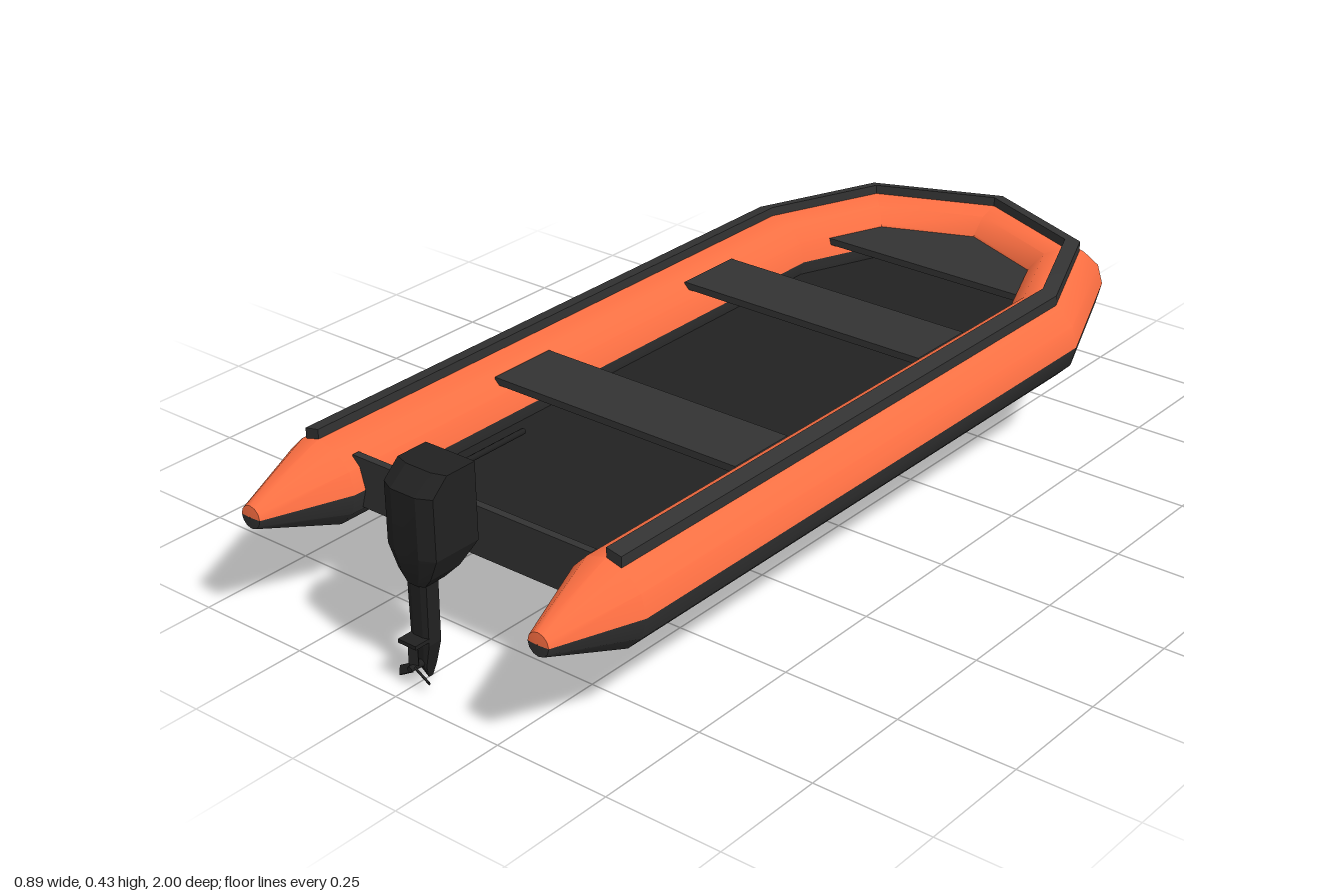
import * as THREE from 'three';
import { toCreasedNormals } from 'three/addons/utils/BufferGeometryUtils.js';

const mat = (color) => new THREE.MeshStandardMaterial({ color, side: THREE.DoubleSide });
const orange = mat(0xff7043), dark = mat(0x333333), floorMat = mat(0x222222), motorMat = mat(0x212121);

// Skins a list of equal-length rings of [x, y, z] points
function loft(rings, closed, crease) {
  const n = rings[0].length, index = [];
  for (let i = 0; i < rings.length - 1; i++) {
    for (let j = 0; j < (closed ? n : n - 1); j++) {
      const a = i * n + j, b = i * n + (j + 1) % n;
      index.push(a, b, b + n, a, b + n, a + n);
    }
  }
  if (closed) {
    const last = (rings.length - 1) * n;
    for (let j = 1; j < n - 1; j++) {
      index.push(0, j + 1, j, last, last + j, last + j + 1);
    }
  }
  const g = new THREE.BufferGeometry();
  g.setAttribute('position', new THREE.Float32BufferAttribute(rings.flat(2), 3));
  g.setIndex(index);
  return toCreasedNormals(g, crease);
}

// Hull centre line: straight sides joined by a four-segment bow
const HALF = 0.355, BEND = -0.56, STERN = 0.82, TUBE_Y = 0.245, TUBE_R = 0.089;
function hullPath() {
  const path = [{ x: HALF, z: STERN, nx: 1, nz: 0 }];
  for (let i = 0; i <= 4; i++) {
    const a = (i / 4) * Math.PI, nx = Math.cos(a), nz = -Math.sin(a);
    path.push({ x: HALF * nx, z: BEND + HALF * nz, nx, nz });
  }
  path.push({ x: -HALF, z: STERN, nx: -1, nz: 0 });
  return path;
}

// Places a cross-section of [outward, y] pairs at a station of the path
const place = (p, section) => section.map(([u, y]) => [p.x + p.nx * u, y, p.z + p.nz * u]);

// Half of the inflated tube, with tapered stern ends
function halfTube(start) {
  const tube = hullPath().map((p) => ({ ...p, r: TUBE_R }));
  const tail = (s, z, r) => ({ x: s * HALF, z, nx: s, nz: 0, r });
  const stations = [tail(1, 1, 0.001), tail(1, 0.998, 0.024), ...tube, tail(-1, 0.998, 0.024), tail(-1, 1, 0.001)];
  return loft(stations.map((p) => {
    const section = [];
    for (let j = 0; j <= 6; j++) {
      const a = start + (j / 6) * Math.PI;
      section.push([p.r * Math.cos(a), TUBE_Y + p.r * Math.sin(a)]);
    }
    return place(p, section);
  }), false, 0.6);
}

// Horizontal panel from an outline of [x, z] points
function panel(points, y, thickness) {
  const shape = new THREE.Shape(points.map(([x, z]) => new THREE.Vector2(x, -z)));
  const g = new THREE.ExtrudeGeometry(shape, { depth: thickness, bevelEnabled: false });
  return g.rotateX(-Math.PI / 2).translate(0, y, 0);
}

// Stacked motor sections: [y, half width, front z, rear z], rear corners cut
function stack(sections) {
  return loft(sections.map(([y, w, z0, z1]) => {
    const cut = (z1 - z0) * 0.12;
    return [[w * 0.5, y, z1], [w, y, z1 - cut], [w, y, z0], [-w, y, z0], [-w, y, z1 - cut], [-w * 0.5, y, z1]];
  }), true, 0.2);
}

export function createModel() {
  const model = new THREE.Group();
  const add = (name, geometry, material, parent = model) => {
    const mesh = new THREE.Mesh(geometry, material);
    mesh.name = name;
    parent.add(mesh);
    return mesh;
  };
  const box = (w, h, d, x, y, z) => new THREE.BoxGeometry(w, h, d).translate(x, y, z);

  // Inflated hull
  add('upperTube', halfTube(0), orange);
  add('lowerTube', halfTube(Math.PI), dark);
  const strip = [[0, 0.33], [0, 0.354], [0.034, 0.347], [0.034, 0.324]];
  add('rubbingStrip', loft(hullPath().map((p) => place(p, strip)), true, 0.2), dark);

  // Floor, bow deck, transom and benches
  add('floor', panel([[-0.29, 0.785], [0.29, 0.785], [0.29, -0.56], [0.21, -0.77], [0, -0.86],
    [-0.21, -0.77], [-0.29, -0.56]], 0.2, 0.014), floorMat);
  add('bowDeck', panel([[-0.265, -0.63], [0.265, -0.63], [0.21, -0.775], [0, -0.86], [-0.21, -0.775]], 0.27, 0.015), dark);
  add('transom', box(0.59, 0.105, 0.016, 0, 0.2575, 0.785), dark);
  for (const [name, z] of [['frontBench', -0.267], ['rearBench', 0.32]]) {
    add(name, box(0.604, 0.015, 0.158, 0, 0.31, z), dark);
  }

  // Outboard motor
  const motor = new THREE.Group();
  motor.name = 'outboardMotor';
  model.add(motor);
  add('cowling', stack([[0.205, 0.024, 0.885, 0.94], [0.225, 0.04, 0.86, 0.945], [0.27, 0.06, 0.83, 0.952],
    [0.395, 0.06, 0.83, 0.952], [0.428, 0.06, 0.83, 0.91]]), motorMat, motor);
  add('driveLeg', stack([[0.08, 0.022, 0.9, 0.935], [0.23, 0.024, 0.9, 0.935]]), motorMat, motor);
  add('gearcase', stack([[0.0, 0.001, 0.905, 0.915], [0.028, 0.008, 0.9, 0.93], [0.08, 0.022, 0.9, 0.935]]), motorMat, motor);
  add('cavitationPlate', box(0.044, 0.008, 0.065, 0, 0.092, 0.932), motorMat, motor);
  add('tiller', new THREE.CylinderGeometry(0.006, 0.006, 0.2, 8).rotateX(Math.PI / 2).translate(0, 0.392, 0.74), motorMat, motor);

  // Three-bladed propeller
  const propeller = new THREE.Group();
  propeller.name = 'propeller';
  propeller.position.set(0, 0.038, 0.95);
  motor.add(propeller);
  add('propellerHub', new THREE.CylinderGeometry(0.006, 0.008, 0.04, 8).rotateX(Math.PI / 2).translate(0, 0, -0.008), motorMat, propeller);
  for (let i = 0; i < 3; i++) {
    const blade = add('propellerBlade', box(0.018, 0.038, 0.004, 0, 0, 0).rotateY(0.6).translate(0, 0.023, 0), motorMat, propeller);
    blade.rotation.z = (i * 2 * Math.PI) / 3;
  }
  return model;
}
